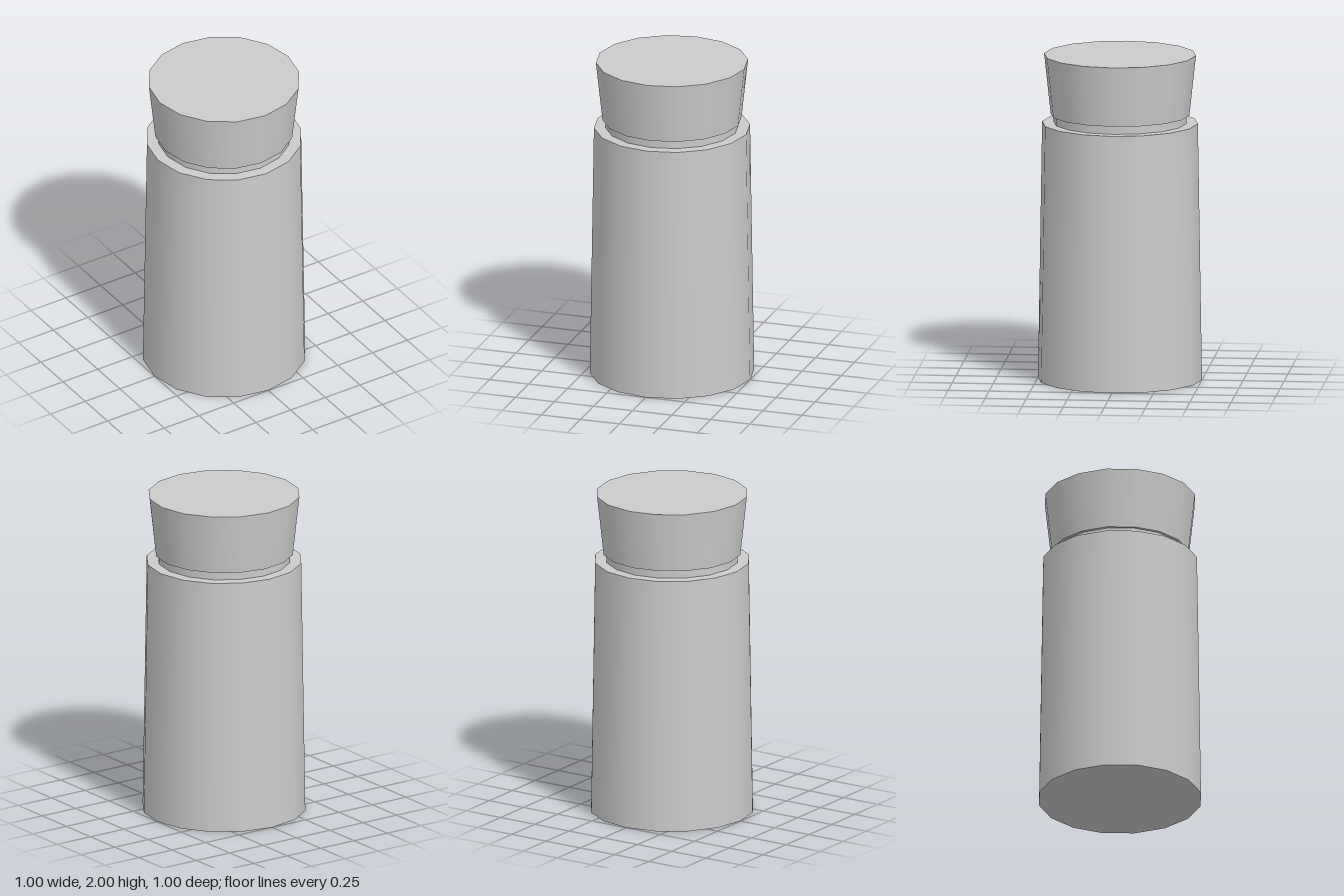
import * as THREE from 'three';

const SIDES = 16;

export function createModel() {
  const group = new THREE.Group();
  const material = new THREE.MeshStandardMaterial({ color: 0xcccccc });

  // Closed tapered drum standing between two heights
  const addDrum = (name, bottomRadius, topRadius, y0, y1) => {
    const geometry = new THREE.CylinderGeometry(topRadius, bottomRadius, y1 - y0, SIDES);
    const mesh = new THREE.Mesh(geometry, material);
    mesh.name = name;
    mesh.position.y = (y0 + y1) / 2;
    group.add(mesh);
  };

  // Body narrows slightly upward
  addDrum('body', 0.5, 0.475, 0, 1.58);
  // Recessed neck between body and cap
  addDrum('neck', 0.405, 0.405, 1.58, 1.63);
  // Cap flares outward to a flat top
  addDrum('cap', 0.423, 0.463, 1.63, 2);

  return group;
}
